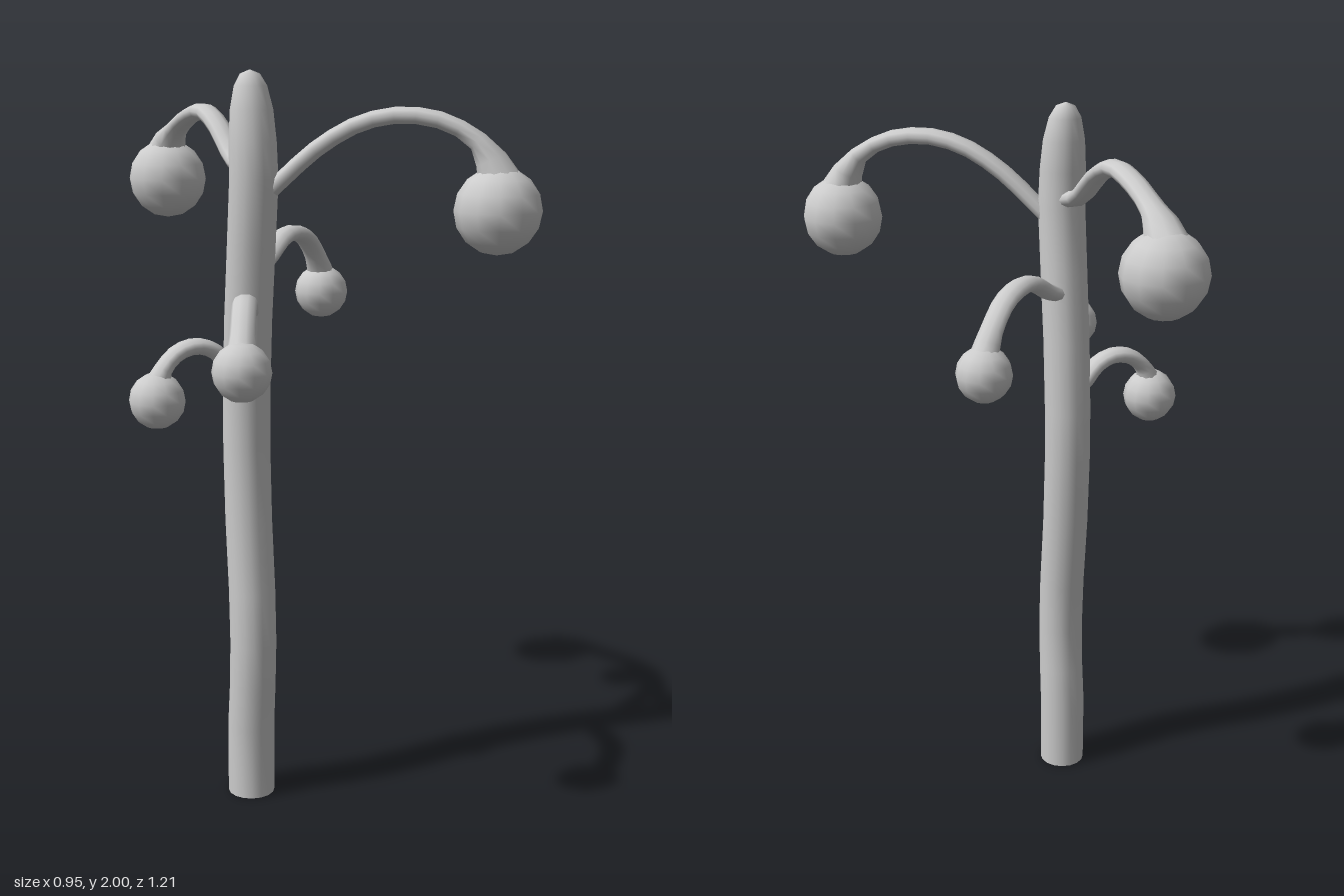
import * as THREE from 'three';

const material = new THREE.MeshStandardMaterial({ color: 0xcccccc });

function addMesh(parent, name, geometry) {
  const mesh = new THREE.Mesh(geometry, material);
  mesh.name = name;
  parent.add(mesh);
  return mesh;
}

// Skin a row of elliptical rings { c: centre, u, v: half-axes }, with u x v along the path
function loft(rings, sides) {
  const pos = [], index = [];
  rings.forEach(({ c, u, v }, i) => {
    for (let j = 0; j < sides; j++) {
      const t = (j / sides) * Math.PI * 2;
      const p = c.clone().addScaledVector(u, Math.cos(t)).addScaledVector(v, Math.sin(t));
      pos.push(p.x, p.y, p.z);
      if (i === rings.length - 1) continue;
      const a = i * sides + j, b = i * sides + (j + 1) % sides;
      index.push(a, b, a + sides, b, b + sides, a + sides);
    }
  });
  const geometry = new THREE.BufferGeometry();
  geometry.setAttribute('position', new THREE.Float32BufferAttribute(pos, 3));
  geometry.setIndex(index);
  geometry.computeVertexNormals();
  return geometry;
}

const TRUNK_X = -0.14;

// Trunk centre line and thickness: [y, z, radius]
const trunkProfile = [
  [0, 0.075, 0.065], [0.2, 0.075, 0.065], [0.32, 0.086, 0.064], [0.45, 0.092, 0.064],
  [0.6, 0.085, 0.064], [0.8, 0.065, 0.064], [1.0, 0.055, 0.064], [1.15, 0.056, 0.064],
  [1.35, 0.068, 0.064], [1.55, 0.09, 0.064], [1.72, 0.108, 0.064], [1.82, 0.102, 0.062],
  [1.9, 0.096, 0.056], [1.96, 0.09, 0.043], [1.99, 0.087, 0.026], [2.0, 0.086, 0.001],
];

// Branches: fruit centre and radius, trunk z, and arc points [fraction outward, y]
const branches = [
  { name: 'frontUpper', fruit: [0.36, 1.655, 0.49], r: 0.112, z: 0.1,
    arc: [[0, 1.65], [0.1, 1.71], [0.28, 1.81], [0.45, 1.87], [0.62, 1.89], [0.8, 1.87], [0.94, 1.81], [1, 1.73]] },
  { name: 'backUpper', fruit: [-0.14, 1.685, -0.495], r: 0.112, z: 0.1,
    arc: [[0, 1.74], [0.17, 1.765], [0.37, 1.85], [0.52, 1.885], [0.7, 1.87], [0.87, 1.83], [0.95, 1.8], [1, 1.76]] },
  { name: 'backMiddle', fruit: [0.2, 1.375, -0.172], r: 0.075, z: 0.085,
    arc: [[0, 1.48], [0.2, 1.505], [0.4, 1.55], [0.55, 1.56], [0.75, 1.54], [0.91, 1.48], [1, 1.42]] },
  { name: 'frontMiddle', fruit: [-0.312, 1.285, 0.408], r: 0.075, z: 0.07,
    arc: [[0, 1.37], [0.2, 1.39], [0.4, 1.42], [0.6, 1.425], [0.8, 1.39], [0.93, 1.35], [1, 1.32]] },
  { name: 'sideLower', fruit: [-0.4, 1.155, 0.062], r: 0.075, z: 0.06,
    arc: [[0, 1.19], [0.18, 1.22], [0.35, 1.27], [0.54, 1.29], [0.75, 1.28], [0.92, 1.24], [1, 1.19]] },
];

function branchGeometry({ fruit, z, r, arc }) {
  const start = new THREE.Vector3(TRUNK_X, 0, z);
  const end = new THREE.Vector3(fruit[0], 0, fruit[2]);
  const curve = new THREE.CatmullRomCurve3(
    arc.map(([f, y]) => start.clone().lerp(end, f).setY(y)));
  const out = end.clone().sub(start).normalize();
  const side = new THREE.Vector3(0, 1, 0).cross(out);
  const rings = [];
  const steps = 14;
  for (let i = 0; i <= steps; i++) {
    const t = i / steps;
    const tangent = curve.getTangentAt(t);
    const normal = tangent.clone().cross(side);
    // Flat oval stem that flares into a cap where it meets the fruit
    const flare = Math.max(0, (t - 0.84) / 0.16);
    rings.push({
      c: curve.getPointAt(t),
      u: side.clone().multiplyScalar(THREE.MathUtils.lerp(0.032, r * 0.52, flare)),
      v: normal.multiplyScalar(THREE.MathUtils.lerp(0.022, r * 0.5, flare)),
    });
  }
  return loft(rings, 10);
}

export function createModel() {
  const model = new THREE.Group();
  model.name = 'fruitingStalk';

  // Gently swaying trunk with a rounded tip
  const trunk = trunkProfile.map(([y, z, r]) => ({
    c: new THREE.Vector3(TRUNK_X, y, z),
    u: new THREE.Vector3(0, 0, r),
    v: new THREE.Vector3(r, 0, 0),
  }));
  addMesh(model, 'trunk', loft(trunk, 16));

  // Flat underside of the trunk
  const base = addMesh(model, 'trunkBase', new THREE.CircleGeometry(0.065, 16));
  base.rotation.x = Math.PI / 2;
  base.position.set(TRUNK_X, 0, 0.075);

  // Drooping branches, each ending in a round fruit
  for (const spec of branches) {
    const branch = new THREE.Group();
    branch.name = spec.name + 'Branch';
    addMesh(branch, 'stem', branchGeometry(spec));
    const fruit = addMesh(branch, 'fruit', new THREE.SphereGeometry(spec.r, 12, 8));
    fruit.position.set(...spec.fruit);
    model.add(branch);
  }
  return model;
}
